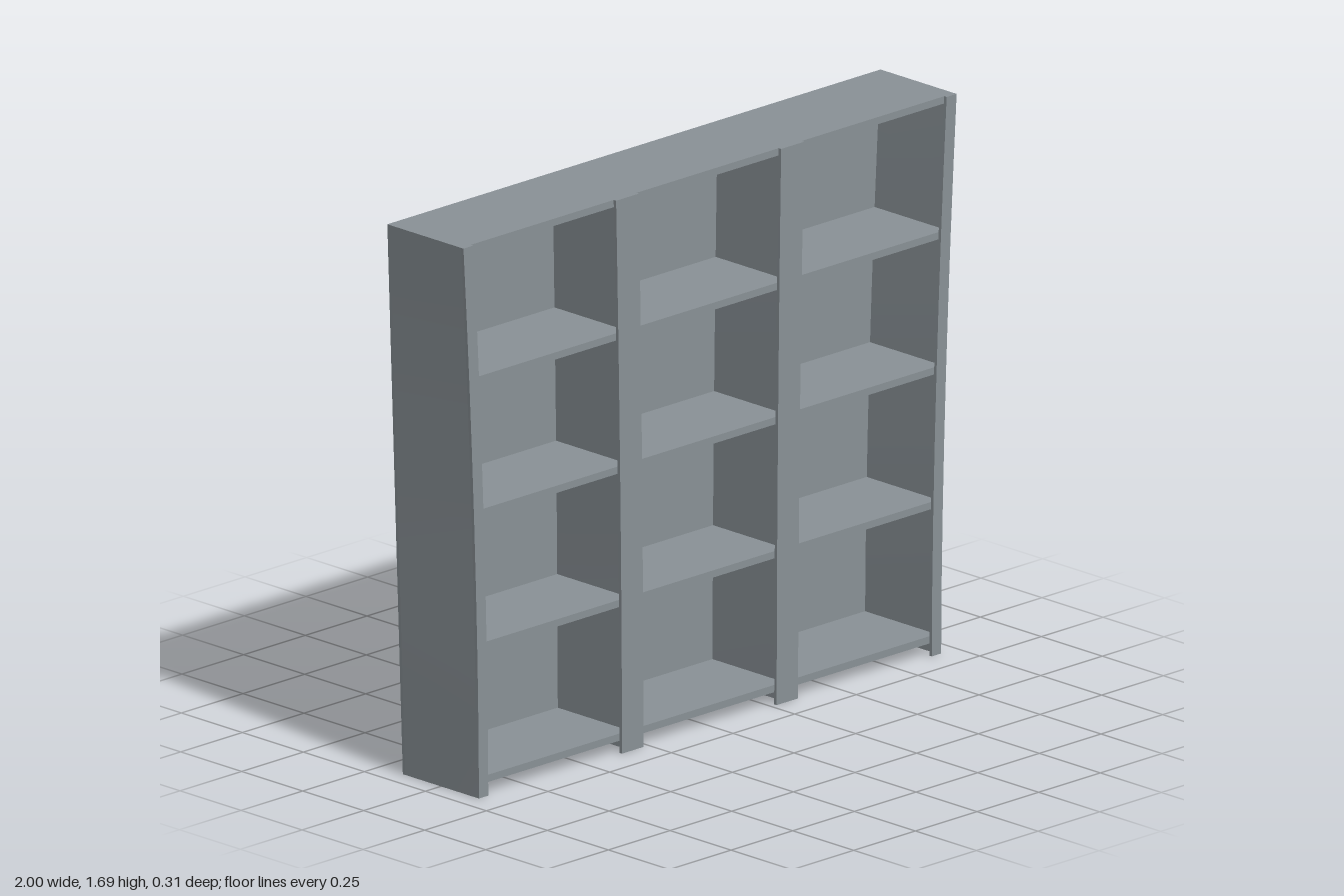
import * as THREE from 'three';

const H = 1.686;        // overall height
const HALF = 0.937;     // half width at the floor
const FLARE = 0.067;    // how much wider the top is
const BACK = -0.156, FRONT = 0.156, T = 0.01;

const curved = (y) => 1 + FLARE * Math.pow(Math.max(y, 0) / H, 1.7);
const straight = (y) => 1 + FLARE * Math.max(y, 0) / H;

export function createModel() {
  const group = new THREE.Group();
  const grey = new THREE.MeshStandardMaterial({ color: 0x8a9297 });
  grey.name = 'grey paint';

  // Box given by its limits, then widened with height by a scale rule
  function panel(name, x0, x1, y0, y1, z0, z1, segments = 1, rule = curved) {
    const geo = new THREE.BoxGeometry(x1 - x0, y1 - y0, z1 - z0, 1, segments, 1);
    geo.translate((x0 + x1) / 2, (y0 + y1) / 2, (z0 + z1) / 2);
    const p = geo.attributes.position;
    for (let i = 0; i < p.count; i++) {
      const x = p.getX(i), y = p.getY(i), z = p.getZ(i);
      p.setX(i, x * rule(y, x, z));
    }
    geo.computeVertexNormals();
    const mesh = new THREE.Mesh(geo, grey);
    mesh.name = name;
    group.add(mesh);
  }

  // Back board with straight slanting edges
  panel('backPanel', -HALF, HALF, 0, H, BACK, BACK + T, 1, straight);

  // Side walls: straight along the rear outer edge, curved along the front
  const sideRule = (y, x, z) =>
    Math.abs(x) > HALF - T / 2 && z < 0 ? straight(y) : curved(y);
  panel('leftSide', HALF - T, HALF, 0, H, BACK + T, FRONT - T, 8, sideRule);
  panel('rightSide', -HALF, -HALF + T, 0, H, BACK + T, FRONT - T, 8, sideRule);

  // Shelves, the last one being the top board
  for (let i = 0; i < 5; i++) {
    const top = i === 4 ? H : 0.059 + i * 0.4065;
    panel(i === 4 ? 'topBoard' : 'shelf' + (i + 1),
      -HALF + T, HALF - T, top - 0.022, top, BACK + T, FRONT - T);
  }

  // Thin dividers and the flat trim strips on the front
  for (const s of [1, -1]) {
    const side = s > 0 ? 'left' : 'right';
    const d = s * 0.3135;
    panel(side + 'Divider', d - T / 2, d + T / 2, 0, H - 0.022, BACK + T, FRONT - T, 8);
    panel(side + 'MiddleTrim', d - 0.0435, d + 0.0435, 0, H, FRONT - T, FRONT, 8);
    const e = s * 0.918;
    panel(side + 'OuterTrim', e - 0.019, e + 0.019, 0, H, FRONT - T, FRONT, 8);
  }

  return group;
}
